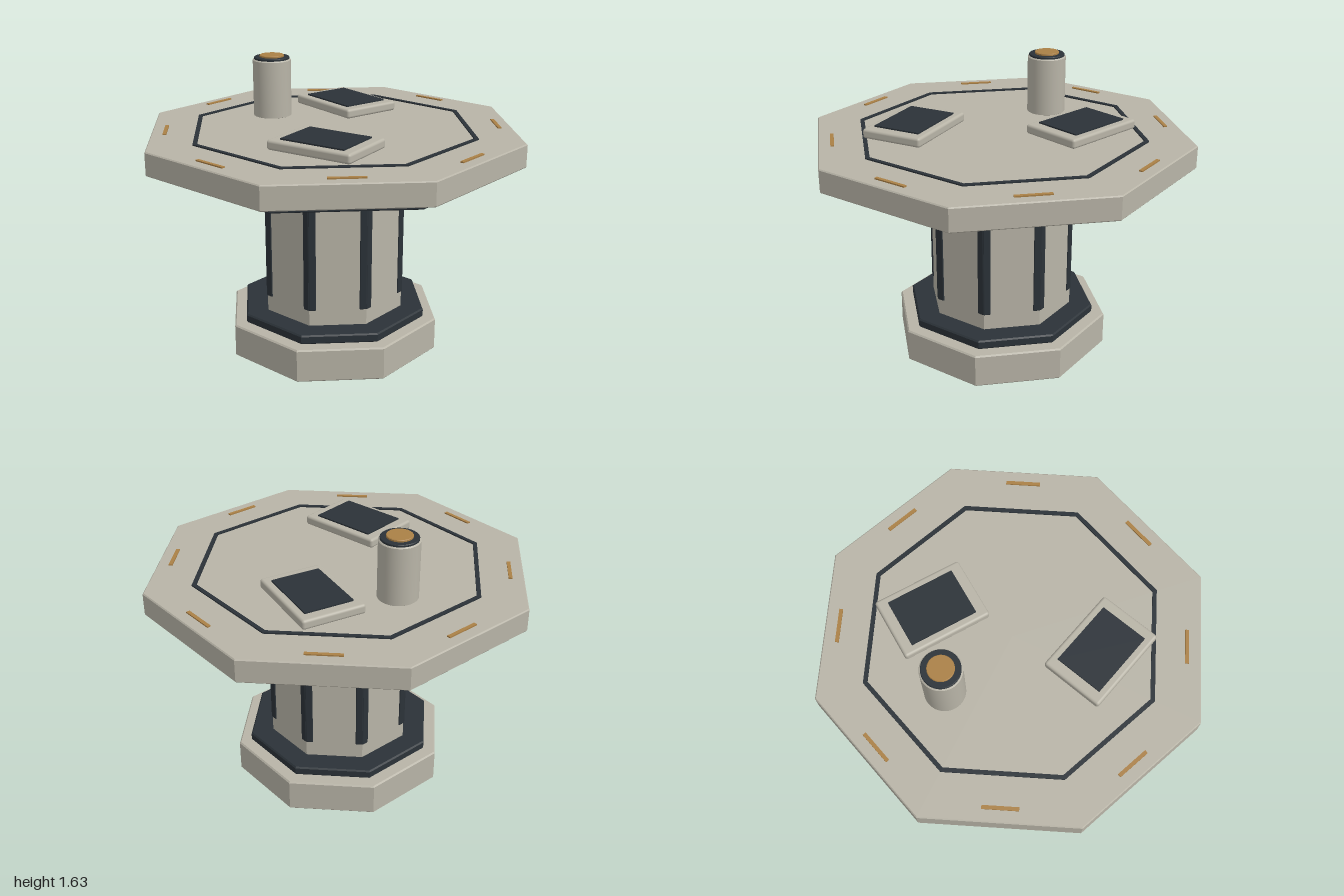
import * as THREE from 'three';
import { toCreasedNormals } from 'three/addons/utils/BufferGeometryUtils.js';
import { RoundedBoxGeometry } from 'three/addons/geometries/RoundedBoxGeometry.js';

const mat = (color, flatShading = false) => new THREE.MeshStandardMaterial({ color, flatShading });
const SHELL = 0xb8b4a7, DARK = 0x2b3238, BRASS = 0xaa8046;
const TO_CORNER = 1 / Math.cos(Math.PI / 8);

export function createModel() {
  const model = new THREE.Group();

  function add(parent, name, geometry, material, x = 0, y = 0, z = 0) {
    const mesh = new THREE.Mesh(geometry, material);
    mesh.name = name;
    mesh.position.set(x, y, z);
    parent.add(mesh);
    return mesh;
  }

  // Chamfered solid of revolution; eight segments give an octagonal prism
  function turned(radius, y0, y1, bevel, segments, phase = 0) {
    const points = [
      [0, y0], [radius - bevel, y0], [radius, y0 + bevel],
      [radius, y1 - bevel], [radius - bevel, y1], [0, y1],
    ].map(([r, y]) => new THREE.Vector2(r, y));
    return new THREE.LatheGeometry(points, segments, phase);
  }

  const shellFlat = mat(SHELL, true), darkFlat = mat(DARK, true);
  const shell = mat(SHELL), dark = mat(DARK), brass = mat(BRASS);

  // Stacked octagonal slabs: name, half width across flats, bottom, top, bevel, material
  const slabs = [
    ['base', 0.575, 0, 0.193, 0.008, shellFlat],
    ['baseTrim', 0.507, 0.193, 0.246, 0.008, darkFlat],
    ['column', 0.384, 0.24, 1.035, 0.004, shellFlat],
    ['collar', 0.56, 1.026, 1.106, 0.01, shellFlat],
    ['underPlate', 0.903, 1.104, 1.15, 0.005, darkFlat],
    ['tableTop', 1.0, 1.148, 1.28, 0.006, shellFlat],
  ];
  for (const [name, apothem, y0, y1, bevel, material] of slabs) {
    add(model, name, turned(apothem * TO_CORNER, y0, y1, bevel, 8, Math.PI / 8), material);
  }

  // Inlaid octagonal line on the table top
  const octagon = (apothem, Type) => {
    const path = new Type();
    for (let i = 0; i < 8; i++) {
      const a = (i + 0.5) * Math.PI / 4, r = apothem * TO_CORNER;
      path[i ? 'lineTo' : 'moveTo'](r * Math.cos(a), r * Math.sin(a));
    }
    path.closePath();
    return path;
  };
  const ring = octagon(0.76, THREE.Shape);
  ring.holes.push(octagon(0.737, THREE.Path));
  const ringGeometry = new THREE.ExtrudeGeometry(ring, { depth: 0.012, bevelEnabled: false });
  ringGeometry.rotateX(-Math.PI / 2);
  add(model, 'topInlay', ringGeometry, dark, 0, 1.275, 0);

  // Per side: brass marker on the top and half of each strip that wraps a column corner
  for (let i = 0; i < 8; i++) {
    const side = new THREE.Group();
    side.name = 'side';
    side.rotation.y = i * Math.PI / 4;
    add(side, 'edgeMarker', new THREE.BoxGeometry(0.19, 0.014, 0.02), brass, 0, 1.28, 0.925);
    for (const s of [-1, 1]) {
      add(side, 'cornerStrip', new RoundedBoxGeometry(0.04, 0.625, 0.03, 2, 0.005), dark,
        s * 0.141, 0.65, 0.375);
    }
    model.add(side);
  }

  // Two flat display pads
  for (const [x, z, turn] of [[0.383, -0.23, -0.205], [-0.38, 0.283, 0.148]]) {
    const pad = new THREE.Group();
    pad.name = 'displayPad';
    pad.position.set(x, 0, z);
    pad.rotation.y = turn;
    add(pad, 'padBody', new RoundedBoxGeometry(0.358, 0.054, 0.502, 3, 0.015), shell, 0, 1.319, 0);
    add(pad, 'padScreen', new THREE.BoxGeometry(0.276, 0.016, 0.382), dark, 0, 1.346, 0);
    model.add(pad);
  }

  // Cylindrical post with a dark cap and brass button
  const post = new THREE.Group();
  post.name = 'post';
  post.position.z = -0.465;
  const round = (...args) => toCreasedNormals(turned(...args, 48), 0.5);
  add(post, 'postBody', round(0.11, 1.275, 1.61, 0.006), shell);
  add(post, 'postCap', round(0.102, 1.605, 1.622, 0.003), dark);
  add(post, 'postButton', round(0.07, 1.615, 1.633, 0.003), brass);
  model.add(post);

  return model;
}
